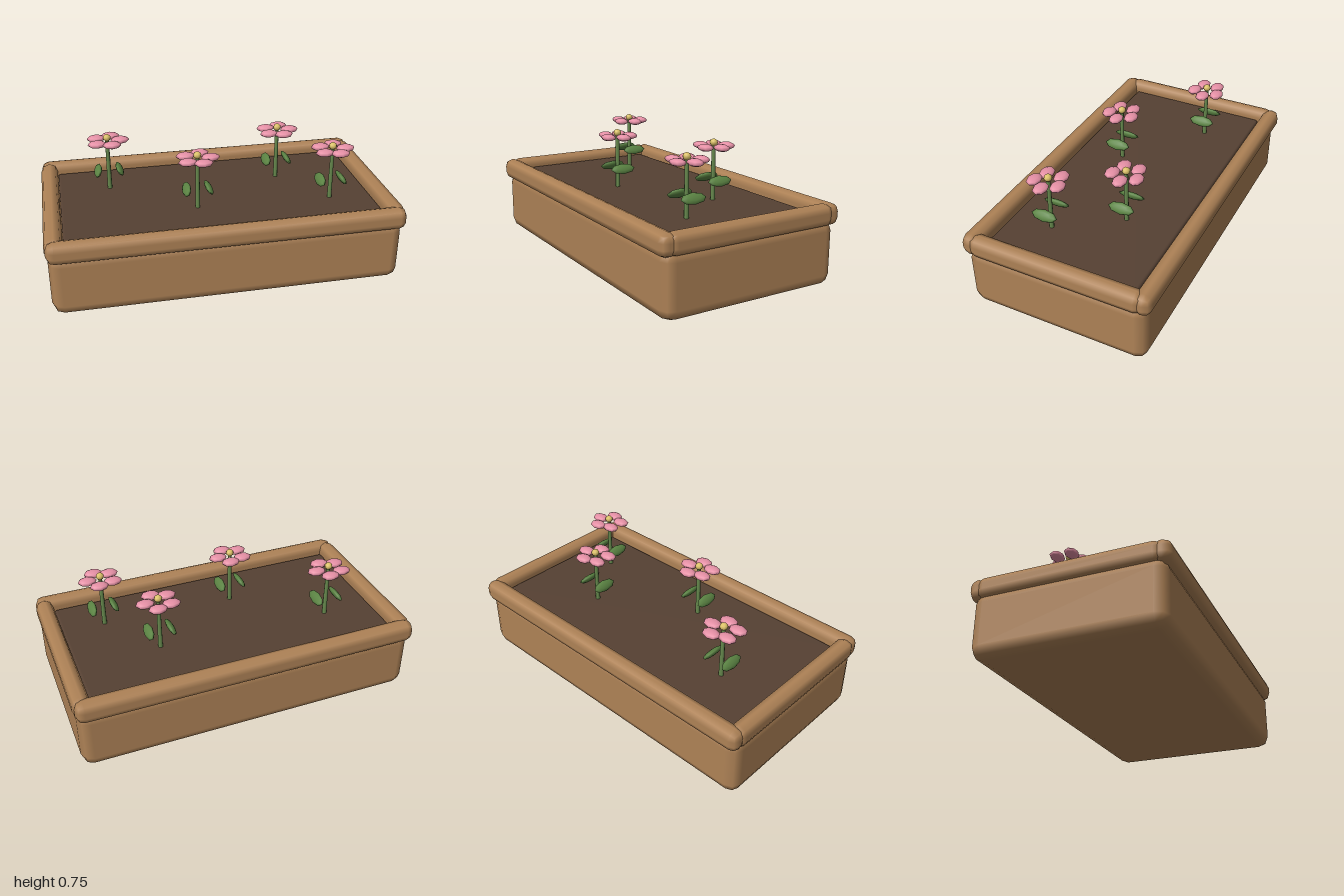
import * as THREE from 'three';
import { RoundedBoxGeometry } from 'three/addons/geometries/RoundedBoxGeometry.js';

const mat = (color) => new THREE.MeshStandardMaterial({ color });
const wood = mat(0xae8256);
const earth = mat(0x564133);
const stemGreen = mat(0x66894d);
const leafGreen = mat(0x5b8443);
const pink = mat(0xe690a6);
const yellow = mat(0xdcc268);

function add(parent, name, geometry, material, x, y, z) {
  const mesh = new THREE.Mesh(geometry, material);
  mesh.name = name;
  mesh.position.set(x, y, z);
  parent.add(mesh);
  return mesh;
}

// Rounded block given by its size, with its underside at y
function block(parent, name, [w, h, d], segments, radius, material, x, y, z) {
  return add(parent, name, new RoundedBoxGeometry(w, h, d, segments, radius), material, x, y + h / 2, z);
}

const ball = new THREE.SphereGeometry(1, 8, 6);
const PETALS = 5;
const SOIL_Y = 0.397;

function createFlower(x, z) {
  const flower = new THREE.Group();
  flower.name = 'flower';
  flower.position.set(x, 0, z);

  // Stem, set slightly into the soil
  const bottom = SOIL_Y - 0.02, top = 0.71;
  add(flower, 'stem', new THREE.CylinderGeometry(0.011, 0.014, top - bottom, 8), stemGreen, 0, (top + bottom) / 2, 0);

  // Pair of leaves leaning away from the stem
  for (const side of [-1, 1]) {
    const leaf = add(flower, 'leaf', ball, leafGreen, side * 0.064, 0.516, 0);
    leaf.scale.set(0.033, 0.017, 0.078);
    leaf.rotation.z = -side * 0.95;
  }

  // Ring of flattened petals, all stretched along x
  for (let i = 0; i < PETALS; i++) {
    const a = (i / PETALS) * Math.PI * 2;
    const petal = add(flower, 'petal', ball, pink, 0.075 * Math.cos(a), 0.703, 0.075 * Math.sin(a));
    petal.scale.set(0.054, 0.02, 0.04);
  }

  // Domed centre
  add(flower, 'flowerCentre', ball, yellow, 0, 0.722, 0).scale.set(0.023, 0.021, 0.023);
  return flower;
}

export function createModel() {
  const model = new THREE.Group();
  model.name = 'planter';

  // Trough and the bed of soil in it
  block(model, 'trough', [1.976, 0.371, 1.058], 1, 0.064, wood, 0, -0.003, 0);
  block(model, 'soil', [1.8, 0.06, 0.88], 2, 0.015, earth, 0, SOIL_Y - 0.06, 0);

  // Rim: long rails front and back, short rails at the ends
  for (const side of [-1, 1]) {
    block(model, 'longRim', [1.993, 0.124, 0.102], 1, 0.045, wood, 0, 0.328, side * 0.504);
    block(model, 'endRim', [0.1, 0.124, 1.02], 1, 0.045, wood, side * 0.952, 0.328, 0);
  }

  // Flowers
  const spots = [[-0.6, -0.182], [-0.128, 0.166], [0.416, -0.14], [0.652, 0.195]];
  for (const [x, z] of spots) model.add(createFlower(x, z));

  return model;
}
